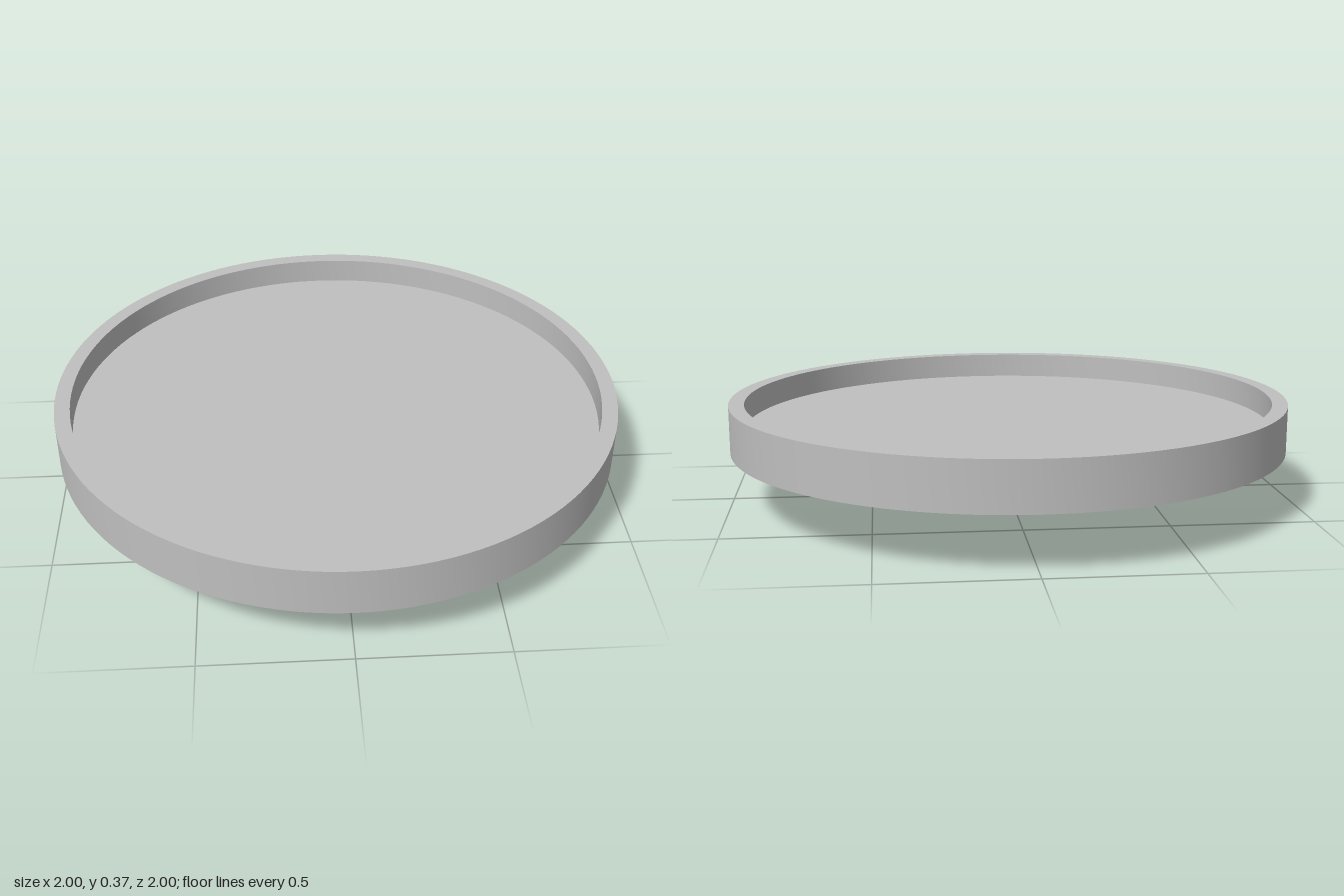
import * as THREE from 'three';
import { toCreasedNormals } from 'three/addons/utils/BufferGeometryUtils.js';

const BASE = 0.197;   // underside of the dish
const HUB_R = 0.267;
const HOLE_R = 0.158;

function lathe(points, segments) {
  const geo = new THREE.LatheGeometry(points.map(p => new THREE.Vector2(...p)), segments);
  return toCreasedNormals(geo, 0.5);
}

// Inside wall of the hole: a helical V-thread, clamped flat at both ends
function threadGeometry(depth, pitch, minR, maxR) {
  const around = 64, steps = 4;
  const rows = Math.ceil(depth / pitch + 1) * steps;
  const pos = [], index = [];
  for (let k = 0; k <= rows; k++) {
    for (let i = 0; i <= around; i++) {
      const turn = i / around, angle = turn * Math.PI * 2;
      const y = THREE.MathUtils.clamp((k / steps - turn) * pitch, 0, depth);
      const phase = (y / pitch + turn) % 1;
      const crest = 1 - Math.abs(2 * phase - 1);
      const leadIn = Math.max(0, maxR - minR - y);
      const r = Math.min(maxR, maxR - (maxR - minR) * crest + leadIn);
      pos.push(r * Math.cos(angle), y, r * Math.sin(angle));
    }
  }
  const w = around + 1;
  for (let k = 0; k < rows; k++) {
    for (let i = 0; i < around; i++) {
      const a = k * w + i;
      index.push(a, a + 1, a + w, a + 1, a + w + 1, a + w);
    }
  }
  const geo = new THREE.BufferGeometry();
  geo.setAttribute('position', new THREE.Float32BufferAttribute(pos, 3));
  geo.setIndex(index);
  return toCreasedNormals(geo, 0.6);
}

export function createModel() {
  const model = new THREE.Group();
  model.name = 'threadedDish';
  const grey = new THREE.MeshStandardMaterial({ color: 0xbfbfbf });
  grey.name = 'grey';

  const add = (name, geo, parent = model) => {
    const mesh = new THREE.Mesh(geo, grey);
    mesh.name = name;
    parent.add(mesh);
    return mesh;
  };

  // Shallow round dish with a raised rim
  add('dish', lathe([
    [0, BASE], [1, BASE], [1, 0.365], [0.945, 0.365], [0.945, 0.272], [0, 0.272],
  ], 128));

  // Hub below the dish, open at the bottom
  add('hub', lathe([[HOLE_R, 0], [HUB_R, 0], [HUB_R, BASE]], 96));
  add('thread', threadGeometry(BASE, 0.045, 0.134, HOLE_R));

  // Six grip ribs around the hub
  const ribs = new THREE.Group();
  ribs.name = 'gripRibs';
  model.add(ribs);
  const inner = HUB_R - 0.02, outer = 0.335;
  for (let i = 0; i < 6; i++) {
    const angle = i * Math.PI / 3;
    const rib = add('gripRib', new THREE.BoxGeometry(outer - inner, BASE, 0.045), ribs);
    const mid = (inner + outer) / 2;
    rib.position.set(mid * Math.cos(angle), BASE / 2, -mid * Math.sin(angle));
    rib.rotation.y = angle;
  }
  return model;
}
